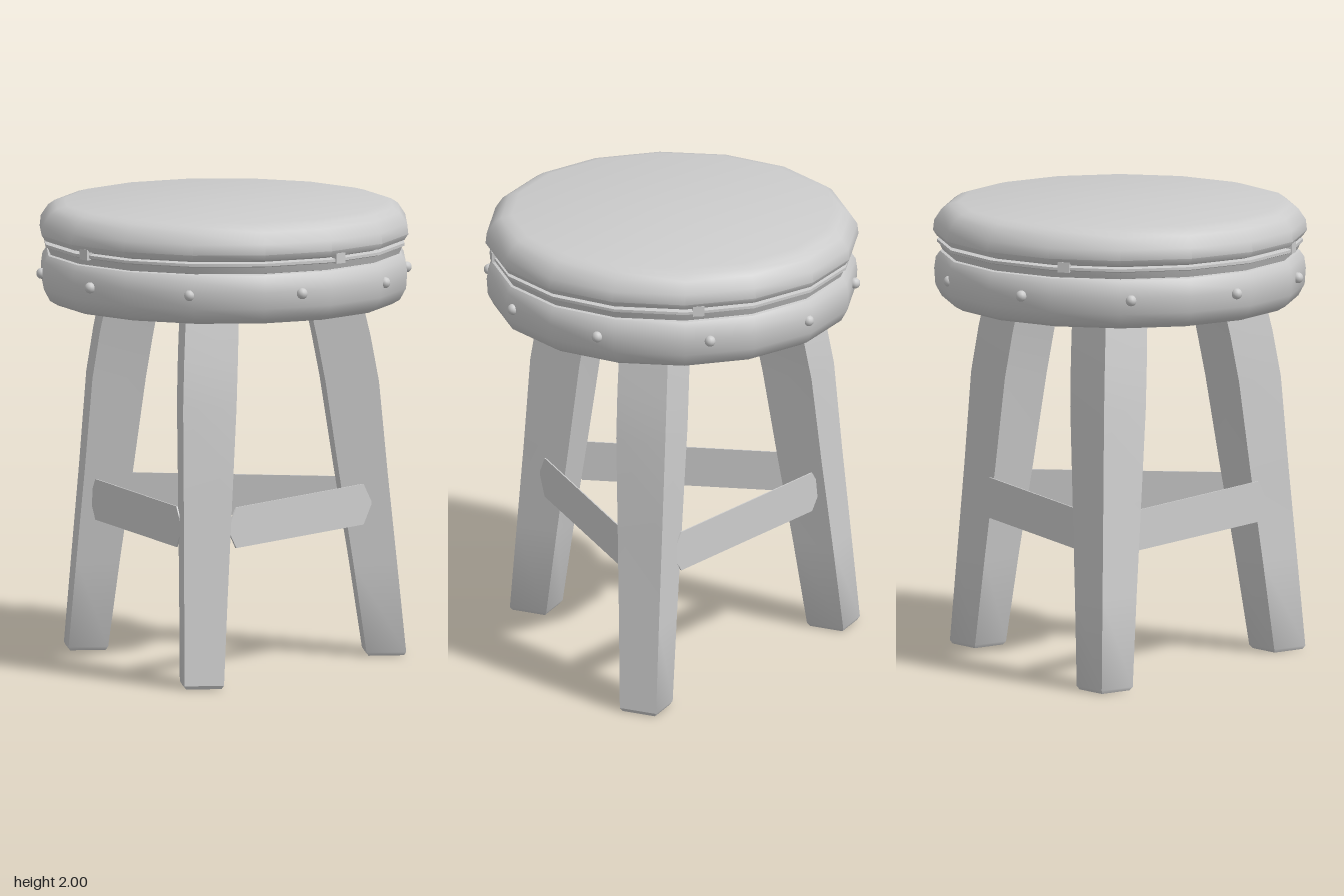
import * as THREE from 'three';
import { toCreasedNormals } from 'three/addons/utils/BufferGeometryUtils.js';

const rad = THREE.MathUtils.degToRad;
const CX = -0.01, CZ = 0.03; // axis of the seat

// Leg rings: height, distance from the seat axis, half diagonal of the square section
const LEG_RINGS = [
  [0, 0.745, 0.108], [0.015, 0.744, 0.121], [0.4, 0.692, 0.133], [0.8, 0.635, 0.148],
  [1.2, 0.582, 0.163], [1.4, 0.542, 0.164], [1.6, 0.493, 0.162],
];

// Curved, tapering square leg leaning out towards the given angle (from +x to +z)
function legGeometry(angle) {
  const pos = [], index = [], turn = rad(-7);
  for (const [y, dist, half] of LEG_RINGS) {
    for (let i = 0; i < 4; i++) {
      const a = turn + i * Math.PI / 2;
      pos.push(dist * Math.cos(angle) + half * Math.cos(a), y, dist * Math.sin(angle) + half * Math.sin(a));
    }
  }
  const last = (LEG_RINGS.length - 1) * 4;
  for (let r = 0; r < last; r += 4) {
    for (let i = 0; i < 4; i++) {
      const a = r + i, b = r + (i + 1) % 4;
      index.push(a, a + 4, b + 4, a, b + 4, b);
    }
  }
  index.push(0, 1, 2, 0, 2, 3, last, last + 2, last + 1, last, last + 3, last + 2);
  const geo = new THREE.BufferGeometry();
  geo.setAttribute('position', new THREE.Float32BufferAttribute(pos, 3));
  geo.setIndex(index);
  return toCreasedNormals(geo, 0.6);
}

export function createModel() {
  const grey = new THREE.MeshStandardMaterial({ color: 0xcccccc, side: THREE.DoubleSide });
  grey.name = 'plain grey';
  const model = new THREE.Group();
  model.name = 'stool';
  const body = new THREE.Group();
  body.name = 'stoolBody';
  body.position.set(CX, 0, CZ);
  model.add(body);

  const add = (name, geo, parent = body) => {
    const mesh = new THREE.Mesh(geo, grey);
    mesh.name = name;
    parent.add(mesh);
    return mesh;
  };
  const turned = (profile) => toCreasedNormals(new THREE.LatheGeometry(
    profile.map(([r, y]) => new THREE.Vector2(r, y)), 16, rad(13.2)), 0.75);

  // Seat: lower rim, piping and padded cushion
  add('seatRim', turned([[0, 1.57], [0.73, 1.57], [0.765, 1.59], [0.792, 1.64], [0.797, 1.71],
    [0.79, 1.76], [0.772, 1.785], [0.74, 1.79]]));
  add('piping', turned([[0.74, 1.785], [0.762, 1.79], [0.775, 1.82], [0.785, 1.824], [0.785, 1.836], [0.75, 1.84]]));
  add('cushion', turned([[0.74, 1.835], [0.755, 1.847], [0.785, 1.85], [0.802, 1.875], [0.797, 1.92],
    [0.765, 1.968], [0.735, 1.988], [0.69, 2], [0, 2]]));

  // Short bridges across the seam
  for (let i = 0; i < 4; i++) {
    const a = rad(-5 + i * 90);
    const bridge = add('seamBridge', new THREE.BoxGeometry(0.05, 0.045, 0.03));
    bridge.position.set(0.77 * Math.sin(a), 1.838, 0.77 * Math.cos(a));
    bridge.rotation.y = a;
  }

  // Round studs along the rim
  const studGeo = new THREE.SphereGeometry(0.024, 12, 8);
  for (let i = 0; i < 10; i++) {
    const a = rad(16.5 + i * 36);
    add('stud', studGeo).position.set(0.788 * Math.sin(a), 1.7, 0.788 * Math.cos(a));
  }

  // Flat crossbar outline with pointed ends
  const L = 0.51, H = 0.088;
  const outline = new THREE.Shape([[-L, 0], [-L + 0.06, -H], [L - 0.06, -H], [L, 0], [L - 0.06, H], [-L + 0.06, H]]
    .map(([x, y]) => new THREE.Vector2(x, y)));
  const barGeo = new THREE.ExtrudeGeometry(outline, { depth: 0.006, bevelEnabled: false });

  // Three legs and the bars joining them
  for (let i = 0; i < 3; i++) {
    add('leg', legGeometry(rad(22 + i * 120)));
    const a = rad(8 + i * 120);
    const bar = add('crossbar', barGeo);
    bar.position.set(0.404 * Math.sin(a), 0.67, 0.404 * Math.cos(a));
    bar.rotation.y = a;
  }
  return model;
}
